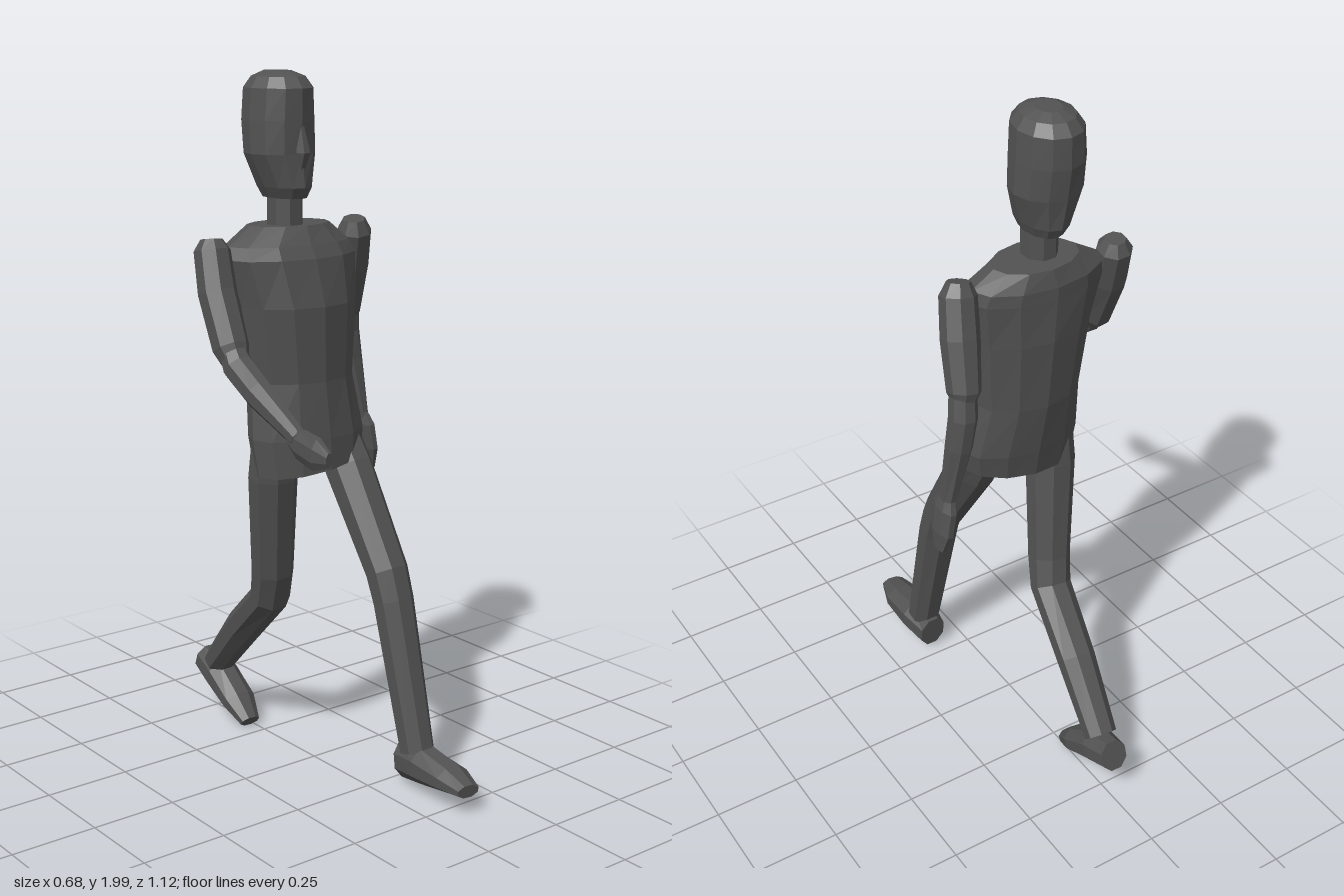
import * as THREE from 'three';

const charcoal = new THREE.MeshStandardMaterial({ color: 0x525252, flatShading: true });
charcoal.name = 'charcoal';

// Lofts elliptical rings [x, y, z, radiusAcross, radiusDeep, sidewaysSlope] along their path.
// upright keeps every ring level; faceted turns flat sides outward.
function loft(name, rings, { sides = 8, upright = false, faceted = true } = {}) {
  const centres = rings.map(r => new THREE.Vector3(r[0], r[1], r[2]));
  const offset = faceted ? Math.PI / sides : 0;
  const grow = faceted ? 1 / Math.cos(Math.PI / sides) : 1;
  const loops = rings.map((r, k) => {
    const t = new THREE.Vector3(0, 1, 0);
    if (!upright) {
      t.set(0, 0, 0);
      if (k > 0) t.add(centres[k].clone().sub(centres[k - 1]).normalize());
      if (k < rings.length - 1) t.add(centres[k + 1].clone().sub(centres[k]).normalize());
      t.normalize();
    }
    const u = new THREE.Vector3(1, 0, 0).addScaledVector(t, -t.x).normalize();
    const v = t.clone().cross(u);
    return Array.from({ length: sides }, (_, i) => {
      const a = offset + (i / sides) * Math.PI * 2;
      const p = centres[k].clone()
        .addScaledVector(u, Math.cos(a) * r[3] * grow)
        .addScaledVector(v, Math.sin(a) * r[4] * grow);
      p.y += (r[5] || 0) * (p.x - r[0]);
      return p;
    });
  });
  const pos = [];
  const tri = (...pts) => pts.forEach(p => pos.push(p.x, p.y, p.z));
  const last = rings.length - 1;
  for (let i = 0; i < sides; i++) {
    const j = (i + 1) % sides;
    for (let k = 0; k < last; k++) {
      const [a, b, c, d] = [loops[k][i], loops[k][j], loops[k + 1][j], loops[k + 1][i]];
      tri(a, b, c);
      tri(a, c, d);
    }
    tri(centres[0], loops[0][j], loops[0][i]);
    tri(centres[last], loops[last][i], loops[last][j]);
  }
  const geo = new THREE.BufferGeometry();
  geo.setAttribute('position', new THREE.Float32BufferAttribute(pos, 3));
  geo.computeVertexNormals();
  const mesh = new THREE.Mesh(geo, charcoal);
  mesh.name = name;
  return mesh;
}

export function createModel() {
  const model = new THREE.Group();
  model.name = 'walkingFigure';
  const body = { sides: 12, upright: true, faceted: false };

  // Torso, from hem to collar
  model.add(loft('torso', [
    [-0.01, 0.91, -0.015, 0.172, 0.108, 0.11],
    [-0.01, 1.0, -0.025, 0.185, 0.115],
    [-0.018, 1.16, -0.045, 0.163, 0.122],
    [-0.025, 1.37, -0.05, 0.185, 0.132],
    [-0.033, 1.5, -0.065, 0.21, 0.118],
    [-0.035, 1.535, -0.075, 0.2, 0.108],
    [-0.025, 1.585, -0.085, 0.128, 0.085],
  ], body));

  // Neck and head
  model.add(loft('neck', [
    [-0.048, 1.55, -0.07, 0.046, 0.05],
    [-0.048, 1.69, -0.07, 0.046, 0.05],
  ], { upright: true }));
  model.add(loft('head', [
    [-0.05, 1.66, -0.07, 0.05, 0.08],
    [-0.052, 1.69, -0.07, 0.064, 0.098],
    [-0.058, 1.78, -0.08, 0.097, 0.102],
    [-0.06, 1.87, -0.084, 0.096, 0.11],
    [-0.06, 1.955, -0.082, 0.09, 0.11],
    [-0.06, 1.985, -0.082, 0.07, 0.085],
    [-0.06, 2.0, -0.085, 0.035, 0.045],
  ], body));
  model.add(loft('nose', [
    [-0.055, 1.73, 0.005, 0.012, 0.015],
    [-0.055, 1.785, 0.02, 0.02, 0.025],
    [-0.058, 1.86, 0.01, 0.01, 0.015],
  ], { sides: 6, upright: true, faceted: false }));

  // Right arm, swung forward
  model.add(loft('rightUpperArm', [
    [-0.283, 1.56, -0.085, 0.028, 0.028],
    [-0.285, 1.53, -0.08, 0.047, 0.047],
    [-0.293, 1.42, -0.045, 0.05, 0.05],
    [-0.297, 1.28, 0.02, 0.046, 0.05],
    [-0.299, 1.25, 0.04, 0.036, 0.04],
  ]));
  model.add(loft('rightForearm', [
    [-0.299, 1.29, 0.02, 0.03, 0.035],
    [-0.302, 1.235, 0.06, 0.038, 0.042],
    [-0.306, 1.18, 0.16, 0.036, 0.04],
    [-0.312, 1.095, 0.34, 0.022, 0.024],
  ]));
  model.add(loft('rightHand', [
    [-0.312, 1.095, 0.31, 0.018, 0.022],
    [-0.313, 1.083, 0.35, 0.021, 0.04],
    [-0.315, 1.07, 0.42, 0.02, 0.043],
    [-0.316, 1.065, 0.47, 0.01, 0.02],
  ]));

  // Left arm, swung back
  model.add(loft('leftUpperArm', [
    [0.205, 1.58, -0.08, 0.03, 0.03],
    [0.212, 1.545, -0.088, 0.047, 0.047],
    [0.23, 1.44, -0.125, 0.049, 0.05],
    [0.25, 1.31, -0.172, 0.042, 0.046],
    [0.255, 1.29, -0.178, 0.032, 0.035],
  ]));
  model.add(loft('leftForearm', [
    [0.25, 1.33, -0.168, 0.034, 0.036],
    [0.262, 1.24, -0.185, 0.037, 0.037],
    [0.275, 1.15, -0.182, 0.035, 0.035],
    [0.302, 0.97, -0.162, 0.019, 0.027],
  ]));
  model.add(loft('leftHand', [
    [0.3, 0.99, -0.163, 0.016, 0.025],
    [0.308, 0.95, -0.16, 0.021, 0.045],
    [0.319, 0.875, -0.157, 0.019, 0.046],
    [0.328, 0.815, -0.155, 0.009, 0.025],
  ]));

  // Left leg, striding forward
  model.add(loft('leftLeg', [
    [0.095, 0.98, -0.02, 0.062, 0.06],
    [0.098, 0.89, 0.035, 0.064, 0.068],
    [0.105, 0.62, 0.2, 0.058, 0.056],
    [0.107, 0.54, 0.228, 0.056, 0.052],
    [0.11, 0.12, 0.335, 0.046, 0.046],
  ]));
  model.add(loft('leftFoot', [
    [0.112, 0.077, 0.28, 0.04, 0.053],
    [0.112, 0.088, 0.37, 0.054, 0.052],
    [0.11, 0.086, 0.48, 0.053, 0.035],
    [0.1, 0.08, 0.56, 0.034, 0.018],
  ]));

  // Right leg, trailing behind
  model.add(loft('rightLeg', [
    [-0.11, 0.98, -0.035, 0.066, 0.06],
    [-0.108, 0.88, -0.05, 0.068, 0.062],
    [-0.075, 0.58, -0.1, 0.058, 0.055],
    [-0.062, 0.49, -0.13, 0.056, 0.052],
    [-0.04, 0.34, -0.3, 0.052, 0.052],
    [-0.018, 0.175, -0.465, 0.044, 0.042],
  ]));
  model.add(loft('rightFoot', [
    [-0.01, 0.16, -0.543, 0.04, 0.045],
    [-0.014, 0.132, -0.46, 0.05, 0.05],
    [-0.018, 0.075, -0.36, 0.05, 0.036],
    [-0.022, 0.027, -0.295, 0.03, 0.02],
  ]));

  return model;
}
